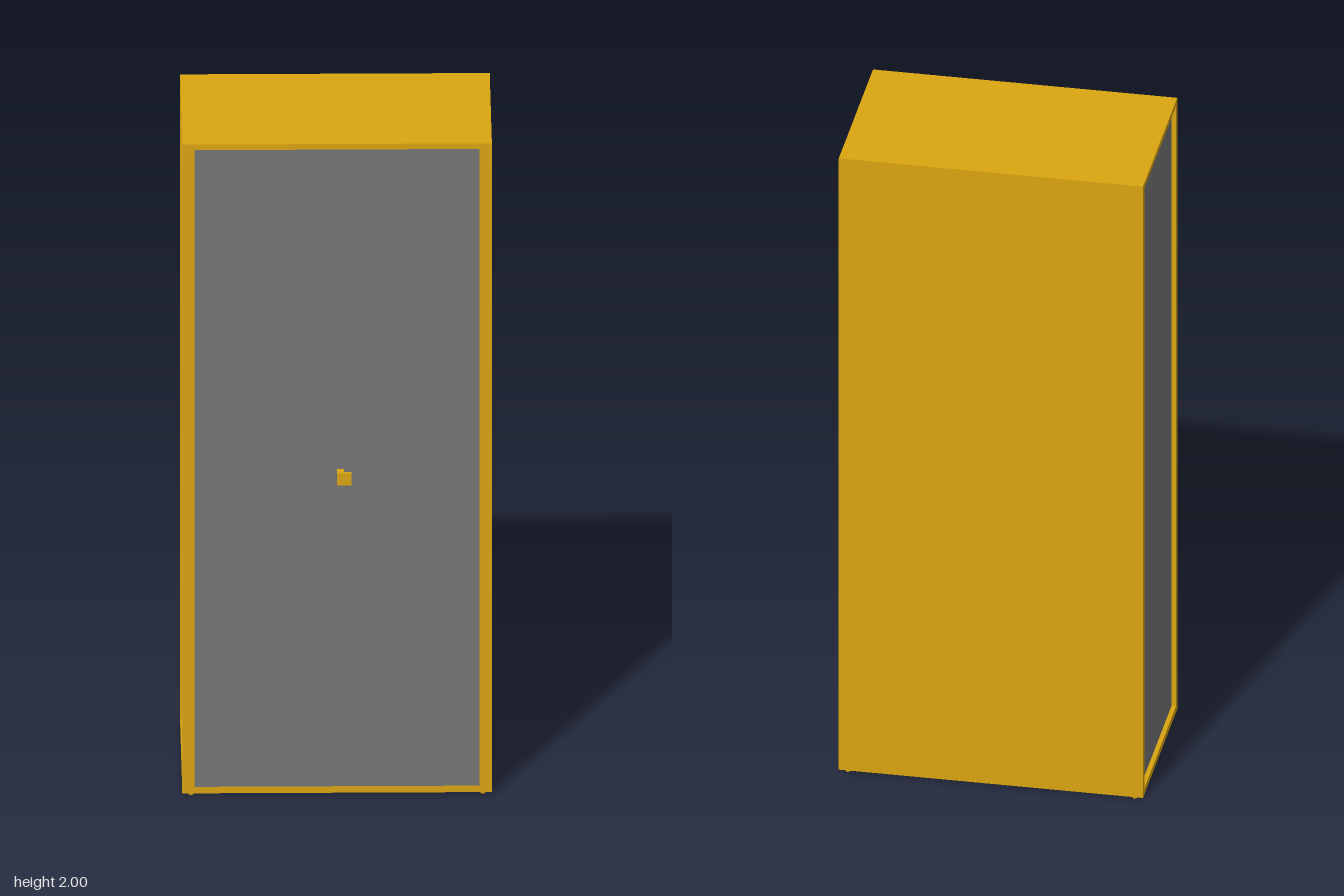
import * as THREE from 'three';

const FRAME = new THREE.MeshStandardMaterial({ color: 0xdaa510 });
const PANEL = new THREE.MeshStandardMaterial({ color: 0x757575 });

// Overall extents of the cabinet
const W = 0.44, FRONT = 0.245, BACK = -0.278, FLOOR = 0.005, TOP = 2;
// Inner edges of the frame
const STILE = 0.405, IN_FRONT = 0.227, IN_BACK = -0.256, IN_FLOOR = 0.025, IN_TOP = 1.983;
const RECESS = 0.013;

// Box given by its two opposite corners
function block(group, name, material, [x0, y0, z0], [x1, y1, z1]) {
  const mesh = new THREE.Mesh(new THREE.BoxGeometry(x1 - x0, y1 - y0, z1 - z0), material);
  mesh.position.set((x0 + x1) / 2, (y0 + y1) / 2, (z0 + z1) / 2);
  mesh.name = name;
  group.add(mesh);
}

export function createModel() {
  const cabinet = new THREE.Group();
  cabinet.name = 'cabinet';

  // Top, bottom and back plates
  block(cabinet, 'topPlate', FRAME, [-W, IN_TOP, BACK], [W, TOP, FRONT]);
  block(cabinet, 'bottomPlate', FRAME, [-W, FLOOR, BACK], [W, IN_FLOOR, FRONT]);
  block(cabinet, 'backPlate', FRAME, [-W, IN_FLOOR, BACK], [W, IN_TOP, IN_BACK]);

  // Door set flush between the front stiles
  block(cabinet, 'door', PANEL, [-STILE, IN_FLOOR, IN_FRONT], [STILE, IN_TOP, FRONT]);

  for (const [side, s] of [['left', 1], ['right', -1]]) {
    // Front stile
    const stile = [s * STILE, s * W].sort((a, b) => a - b);
    block(cabinet, side + 'Stile', FRAME, [stile[0], IN_FLOOR, IN_FRONT], [stile[1], IN_TOP, FRONT]);

    // Side panel recessed into the frame
    const panel = [s * (W - RECESS - 0.01), s * (W - RECESS)].sort((a, b) => a - b);
    block(cabinet, side + 'SidePanel', PANEL, [panel[0], IN_FLOOR, IN_BACK], [panel[1], IN_TOP, IN_FRONT]);

    // Tiny feet near the corners
    for (const z of [0.238, -0.27]) {
      const foot = new THREE.Mesh(new THREE.CylinderGeometry(0.007, 0.007, FLOOR, 12), FRAME);
      foot.position.set(s * 0.415, FLOOR / 2, z);
      foot.name = side + (z > 0 ? 'FrontFoot' : 'BackFoot');
      cabinet.add(foot);
    }
  }

  // L-shaped door handle, its profile extruded upwards
  const profile = new THREE.Shape([
    [0, -FRONT], [0, -0.277], [0.04, -0.277], [0.04, -0.267], [0.02, -0.267], [0.02, -FRONT],
  ].map(([x, y]) => new THREE.Vector2(x, y)));
  const handle = new THREE.Mesh(
    new THREE.ExtrudeGeometry(profile, { depth: 0.037, bevelEnabled: false }), FRAME);
  handle.rotation.x = -Math.PI / 2;
  handle.position.y = 0.963;
  handle.name = 'handle';
  cabinet.add(handle);

  return cabinet;
}
